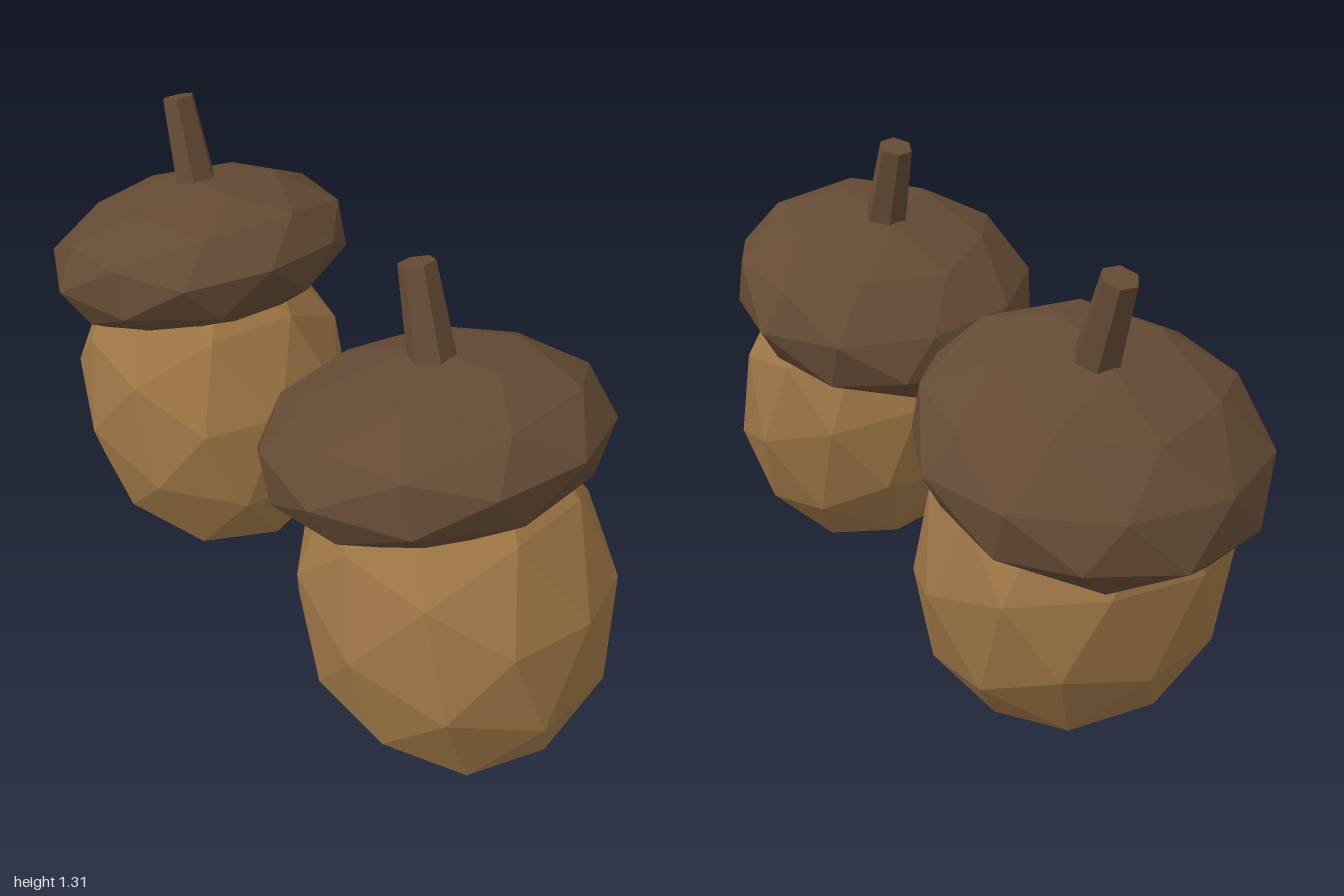
import * as THREE from 'three';

export function createModel() {
  const model = new THREE.Group();
  model.name = 'acornPair';

  const nutMat = new THREE.MeshStandardMaterial({ color: 0x9c7545, flatShading: true });
  nutMat.name = 'nutBrown';
  const capMat = new THREE.MeshStandardMaterial({ color: 0x654b35, flatShading: true });
  capMat.name = 'capBrown';

  const tilt = 0.303; // lean towards -x

  // Faceted ellipsoid near the acorn's axis
  function facetedBall(name, material, radius, halfHeight, position, spin) {
    const geometry = new THREE.IcosahedronGeometry(1, 1);
    geometry.scale(radius, halfHeight, radius);
    const mesh = new THREE.Mesh(geometry, material);
    mesh.name = name;
    mesh.position.set(...position);
    mesh.rotation.y = spin;
    return mesh;
  }

  function acorn(name, x, spin, nutZ, capZ, stemZ) {
    const group = new THREE.Group();
    group.name = name;

    const nut = facetedBall('nut', nutMat, 0.4, 0.49, [0, 0.582, nutZ], spin);
    const cap = facetedBall('cap', capMat, 0.435, 0.218, [0.009, 1.002, capZ], spin);

    // Tapered six-sided stem, its foot sunk into the cap
    const stem = new THREE.Mesh(new THREE.CylinderGeometry(0.045, 0.062, 0.29, 6), capMat);
    stem.name = 'stem';
    stem.position.set(0.055, 1.29, stemZ);
    stem.rotation.y = spin;

    group.add(nut, cap, stem);
    group.rotation.z = tilt;
    group.position.set(x, -0.087, 0);
    return group;
  }

  model.add(acorn('rightAcorn', -0.296, -0.08, 0.021, -0.015, -0.024));
  model.add(acorn('leftAcorn', 0.773, 0.2, 0.021, 0.02, 0.018));
  return model;
}
